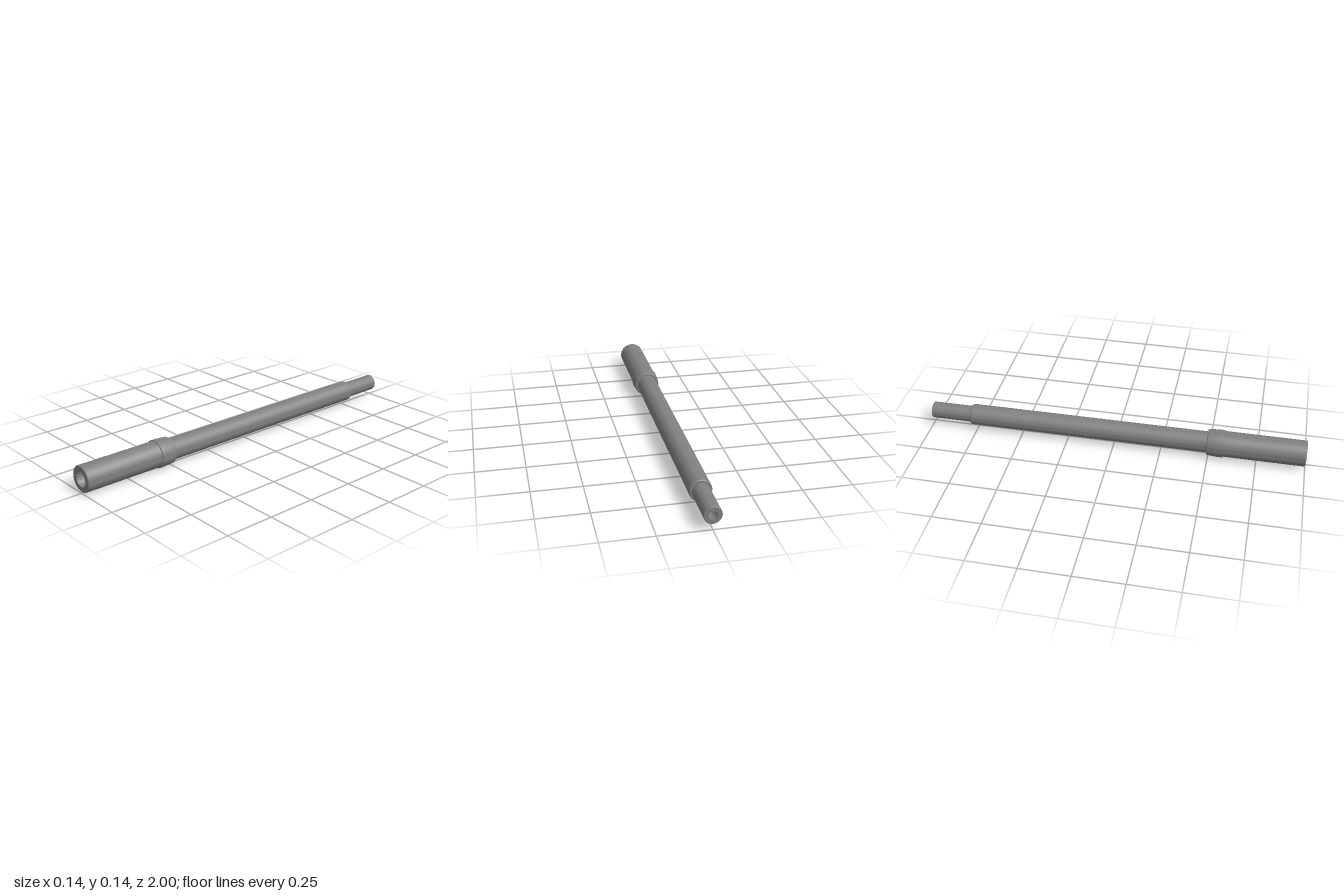
import * as THREE from 'three';
import { toCreasedNormals } from 'three/addons/utils/BufferGeometryUtils.js';

const AXIS_Y = 0.0715;

export function createModel() {
  const group = new THREE.Group();
  group.name = 'steppedTube';
  const steel = new THREE.MeshStandardMaterial({ color: 0x808080 });
  steel.name = 'grey steel';

  // Turned part: [radius, z] points running from the back to the front
  function turned(name, profile) {
    const points = profile.map(([r, z]) => new THREE.Vector2(r, z));
    const geometry = toCreasedNormals(new THREE.LatheGeometry(points, 48), 0.5);
    geometry.rotateX(Math.PI / 2);
    const mesh = new THREE.Mesh(geometry, steel);
    mesh.name = name;
    mesh.position.y = AXIS_Y;
    group.add(mesh);
  }

  // Thin rear spigot with a small blind bore
  turned('rearSpigot', [
    [0, -0.85], [0.021, -0.85], [0.021, -1], [0.041, -1], [0.043, -0.998], [0.043, -0.775],
  ]);

  // Long middle barrel with a chamfered rear shoulder
  turned('barrel', [
    [0.043, -0.782], [0.051, -0.782], [0.055, -0.776], [0.055, 0.5],
  ]);

  // Collar, slightly swollen towards the front
  turned('collar', [
    [0.055, 0.492], [0.064, 0.492], [0.067, 0.496], [0.0695, 0.52],
    [0.0715, 0.55], [0.0715, 0.578], [0.066, 0.58],
  ]);

  // Front sleeve with a wide blind bore
  turned('frontSleeve', [
    [0.067, 0.57], [0.067, 0.996], [0.064, 1], [0.039, 1], [0.039, 0.8], [0, 0.8],
  ]);

  return group;
}
